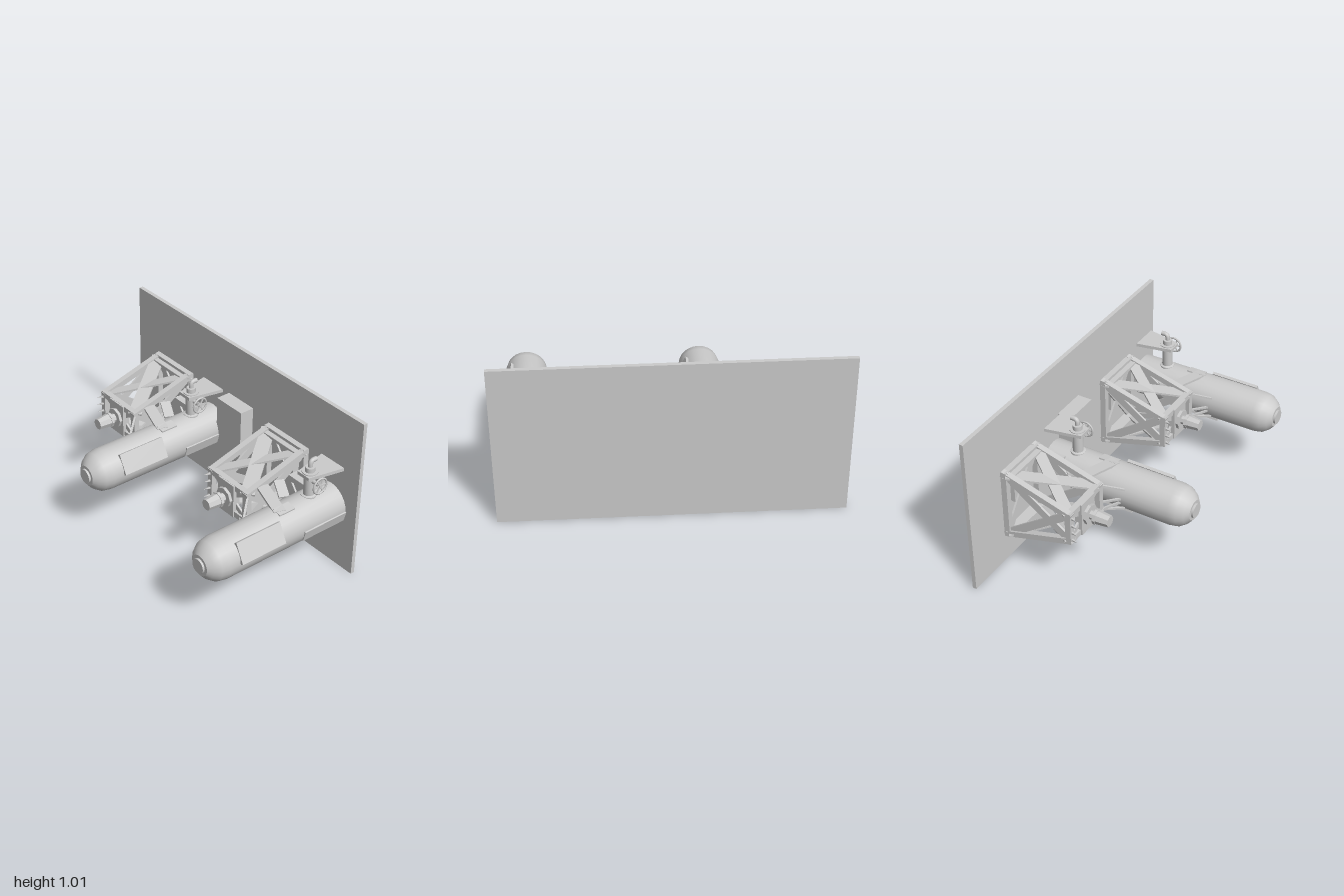
import * as THREE from 'three';
import { toCreasedNormals } from 'three/addons/utils/BufferGeometryUtils.js';

const material = new THREE.MeshStandardMaterial({ color: 0xcccccc, side: THREE.DoubleSide });
const V = (x, y, z) => new THREE.Vector3(x, y, z);

function add(parent, name, geometry, x = 0, y = 0, z = 0) {
  const mesh = new THREE.Mesh(geometry, material);
  mesh.name = name;
  mesh.position.set(x, y, z);
  parent.add(mesh);
  return mesh;
}
const box = (parent, name, w, h, d, x, y, z) => add(parent, name, new THREE.BoxGeometry(w, h, d), x, y, z);

// Flat bar from a to b; its thin side faces along n
function bar(parent, name, a, b, width, thick, n, extra = 0) {
  const dir = b.clone().sub(a), length = dir.length();
  dir.normalize();
  const side = n.clone().cross(dir).normalize();
  const up = dir.clone().cross(side);
  const mesh = add(parent, name, new THREE.BoxGeometry(width, thick, length + extra));
  mesh.quaternion.setFromRotationMatrix(new THREE.Matrix4().makeBasis(side, up, dir));
  mesh.position.copy(a).add(b).multiplyScalar(0.5);
  return mesh;
}

// Turned part with sharp steps, from [radius, height] pairs
function lathe(points, segments, crease = 0.6) {
  const g = new THREE.LatheGeometry(points.map(p => new THREE.Vector2(...p)), segments);
  return toCreasedNormals(g, crease);
}

// Wedge-shaped truss; local x = 0 is its middle
function createTruss() {
  const g = new THREE.Group();
  g.name = 'trussFrame';
  const hx = 0.152, zb = -0.425, zf = -0.01;
  const c = (sx, top, front) => V(sx * hx, front ? (top ? 0.548 : 0.372) : (top ? 0.665 : 0.25), front ? zf : zb);
  const edge = (a, b, n, w = 0.036) => bar(g, 'frameEdge', a, b, w, 0.036, n, 0.036);
  const brace = (a, b, n, w, t = 0.012) => bar(g, 'crossBrace', a, b, w, t, n);
  const up = V(0, 1, 0), out = V(1, 0, 0), fwd = V(0, 0, 1);
  for (const top of [true, false]) {
    for (const front of [true, false]) edge(c(-1, top, front), c(1, top, front), up);
    for (const s of [-1, 1]) {
      edge(c(s, top, false), c(s, top, true), out);
      // Sloping face braces
      brace(c(s, top, false), c(-s, top, true), up, s > 0 ? 0.065 : 0.085);
    }
    // Wide rear border
    const k = top ? -0.01 : 0.01;
    bar(g, 'rearBorder', V(-hx, c(1, top, false).y + k, -0.398), V(hx, c(1, top, false).y + k, -0.398), 0.05, 0.02, up);
  }
  for (const s of [-1, 1]) {
    for (const front of [true, false]) edge(c(s, true, front), c(s, false, front), out);
    // Side braces
    brace(c(s, true, false), c(s, false, true), out, 0.05);
    brace(c(s, false, false), c(s, true, true), out, 0.05);
    // Rear and front braces
    brace(c(s, true, false), c(-s, false, false), fwd, 0.05);
    brace(c(s, true, true), c(-s, false, true), fwd, 0.03);
  }
  // Small hooks along the outer front corner
  for (let i = 0; i < 4; i++) {
    const hook = add(g, 'hook', new THREE.ConeGeometry(0.012, 0.045, 5), -hx - 0.005, 0.38 + i * 0.05, 0.022);
    hook.rotation.set(Math.PI / 2, 0, 0.25);
  }
  // Front hub with nozzle, and the wall bracket
  box(g, 'hubPlate', 0.135, 0.21, 0.045, 0, 0.46, -0.005);
  const nozzle = add(g, 'hubNozzle', lathe([[0, 0], [0.06, 0], [0.06, 0.018], [0.028, 0.018], [0.028, 0.045],
    [0.046, 0.045], [0.046, 0.062], [0.042, 0.062], [0.034, 0.14], [0, 0.14]], 8), 0, 0.465, 0.018);
  nozzle.rotation.x = Math.PI / 2;
  box(g, 'wallBracket', 0.12, 0.12, 0.05, 0, 0.46, -0.46);
  return g;
}

// Horizontal tank with patches; local x = 0 is its axis
function createTank() {
  const g = new THREE.Group();
  g.name = 'tank';
  const body = add(g, 'tankBody', lathe([[0, -0.445], [0.127, -0.445], [0.127, 0.38], [0.118, 0.43], [0.092, 0.468],
    [0.062, 0.492], [0.044, 0.492], [0.044, 0.505], [0, 0.505]], 24), 0, 0.43, 0);
  body.rotation.x = Math.PI / 2;
  // Tangent patch plates: angle, width, z range
  for (const [deg, w, z0, z1] of [[28, 0.125, 0.01, 0.315], [-15, 0.067, -0.445, -0.14], [-105, 0.1, -0.055, 0.13],
    [80, 0.06, -0.13, -0.02]]) {
    const a = deg * Math.PI / 180;
    const p = box(g, 'patchPlate', 0.018, w, z1 - z0, 0.122 * Math.cos(a), 0.43 + 0.122 * Math.sin(a), (z0 + z1) / 2);
    p.rotation.z = a;
  }
  return g;
}

// Upright valve with handwheel and bent outlet
function createValve() {
  const g = new THREE.Group();
  g.name = 'valve';
  const z = -0.275;
  add(g, 'valveStem', lathe([[0.045, 0.54], [0.045, 0.558], [0.032, 0.562], [0.032, 0.695], [0.046, 0.695],
    [0.046, 0.71], [0.028, 0.71], [0.028, 0.738], [0, 0.738]], 16), 0, 0, z);
  const path = new THREE.CurvePath();
  path.add(new THREE.LineCurve3(V(0, 0.73, z), V(0, 0.75, z)));
  path.add(new THREE.QuadraticBezierCurve3(V(0, 0.75, z), V(0, 0.775, z), V(0, 0.775, z - 0.02)));
  path.add(new THREE.LineCurve3(V(0, 0.775, z - 0.02), V(0, 0.775, z - 0.04)));
  add(g, 'outletPipe', new THREE.TubeGeometry(path, 16, 0.014, 10));
  const shaft = add(g, 'wheelShaft', new THREE.CylinderGeometry(0.012, 0.012, 0.09, 10), 0.048, 0.655, z);
  shaft.rotation.z = Math.PI / 2;
  const wheel = new THREE.Group();
  wheel.name = 'handwheel';
  wheel.position.set(0.085, 0.655, z);
  wheel.rotation.y = Math.PI / 2;
  add(wheel, 'wheelRim', new THREE.TorusGeometry(0.047, 0.006, 8, 24));
  for (let i = 0; i < 3; i++) box(wheel, 'wheelSpoke', 0.092, 0.008, 0.006, 0, 0, 0).rotation.z = i * Math.PI / 3;
  g.add(wheel);
  // Tapered rear shelf
  const shape = new THREE.Shape([[-0.09, 0.445], [0.09, 0.445], [0.045, 0.225], [-0.045, 0.225]]
    .map(p => new THREE.Vector2(...p)));
  const shelf = add(g, 'valveShelf', new THREE.ExtrudeGeometry(shape, { depth: 0.02, bevelEnabled: false }), 0, 0.684, 0);
  shelf.rotation.x = -Math.PI / 2;
  return g;
}

function createUnit() {
  const g = new THREE.Group();
  g.name = 'tankUnit';
  const truss = createTruss(), tank = createTank(), valve = createValve();
  truss.position.x = -0.578;
  tank.position.x = valve.position.x = -0.218;
  g.add(truss, tank, valve);
  // Straps and rods tying the tank to the truss
  const up = V(0, 1, 0);
  box(g, 'rearTie', 0.14, 0.035, 0.075, -0.36, 0.53, -0.355);
  bar(g, 'topStrap', V(-0.41, 0.573, -0.105), V(-0.19, 0.553, -0.04), 0.07, 0.014, up);
  bar(g, 'sideStrap', V(-0.42, 0.55, -0.235), V(-0.32, 0.51, -0.19), 0.06, 0.014, up);
  bar(g, 'lowerStrap', V(-0.5, 0.275, -0.24), V(-0.2, 0.303, -0.12), 0.06, 0.014, up);
  bar(g, 'sideStrap', V(-0.42, 0.37, -0.25), V(-0.31, 0.37, -0.2), 0.05, 0.014, up);
  for (const [y0, y1] of [[0.37, 0.36], [0.42, 0.43], [0.54, 0.49]])
    bar(g, 'tieRod', V(-0.415, y0, -0.005), V(-0.325, y1, 0.1), 0.012, 0.012, up);
  bar(g, 'tieRod', V(-0.41, 0.37, 0), V(-0.335, 0.4, 0.14 - 0.06), 0.012, 0.012, up);
  return g;
}

export function createModel() {
  const model = new THREE.Group();
  model.name = 'wallMountedTanks';
  box(model, 'wallPanel', 2, 1.015, 0.025, 0, 0.5075, -0.4925);
  box(model, 'controlBox', 0.22, 0.325, 0.095, 0, 0.5125, -0.435);
  for (const x of [0, 1.042]) {
    const unit = createUnit();
    unit.position.x = x;
    model.add(unit);
  }
  return model;
}
